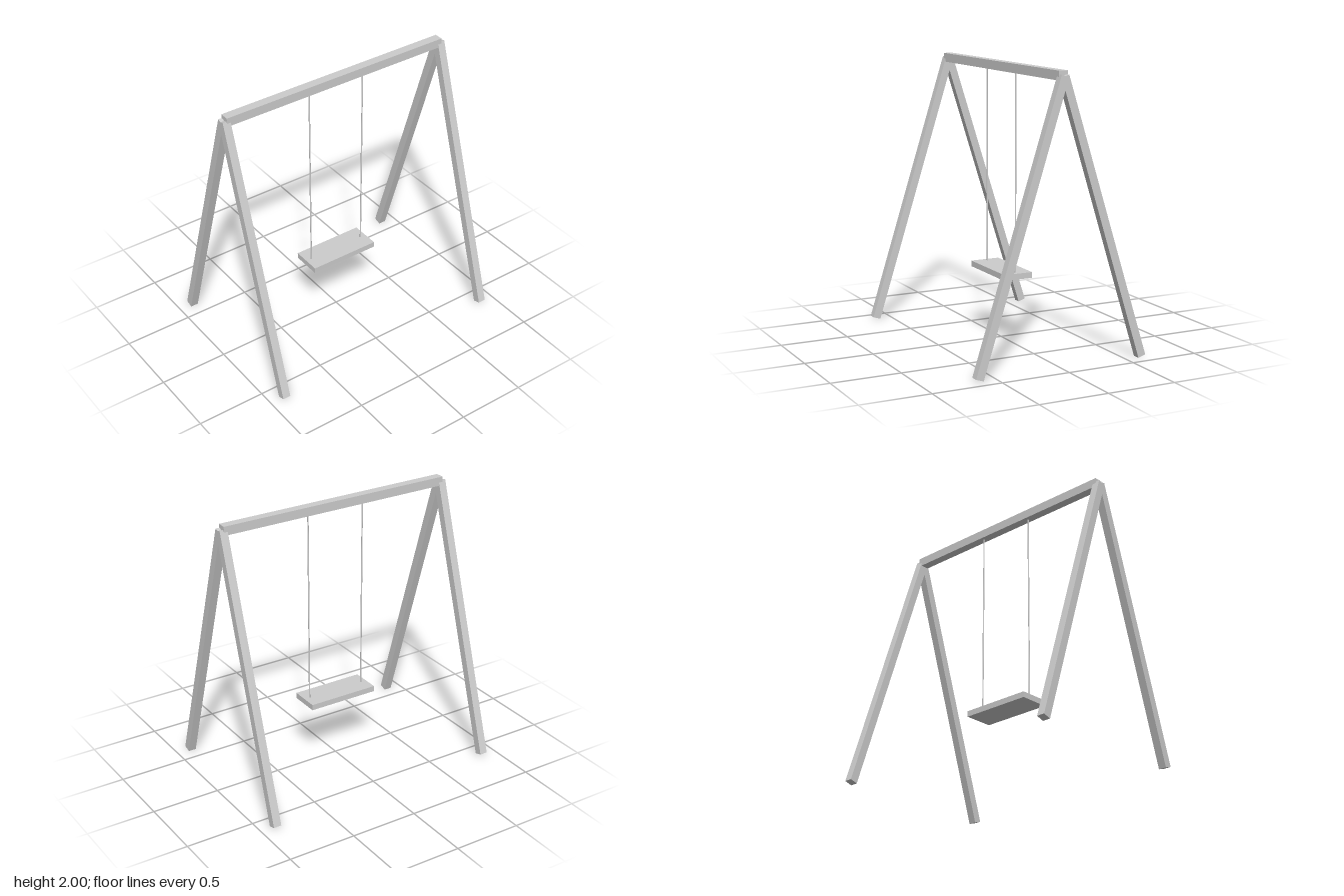
import * as THREE from 'three';

export function createModel() {
  const group = new THREE.Group();
  group.name = 'swingSet';
  const lightGrey = new THREE.MeshStandardMaterial({ color: 0xcccccc });
  lightGrey.name = 'lightGrey';

  const add = (name, geometry, x, y, z) => {
    const mesh = new THREE.Mesh(geometry, lightGrey);
    mesh.name = name;
    mesh.position.set(x, y, z);
    group.add(mesh);
    return mesh;
  };

  // Top beam
  add('topBeam', new THREE.BoxGeometry(1.776, 0.065, 0.065), 0, 1.9675, 0);

  // Splayed legs, crossing under the beam at each end
  const footZ = 0.622, footY = 0.009, topY = 1.966;
  const rise = topY - footY;
  const legGeometry = new THREE.BoxGeometry(0.058, Math.hypot(footZ, rise), 0.058);
  for (const [side, sx] of [['left', 1], ['right', -1]]) {
    for (const [end, sz] of [['Front', 1], ['Back', -1]]) {
      const leg = add(`${side}${end}Leg`, legGeometry, sx * 0.888, (footY + topY) / 2, sz * footZ / 2);
      leg.rotation.x = -sz * Math.atan2(footZ, rise);
    }
    // Rope from the beam to the seat
    add(`${side}Rope`, new THREE.CylinderGeometry(0.005, 0.005, 1.44, 12), sx * 0.222, 1.23, 0);
  }

  // Seat board
  add('seat', new THREE.BoxGeometry(0.532, 0.042, 0.22), 0, 0.502, 0);

  return group;
}
